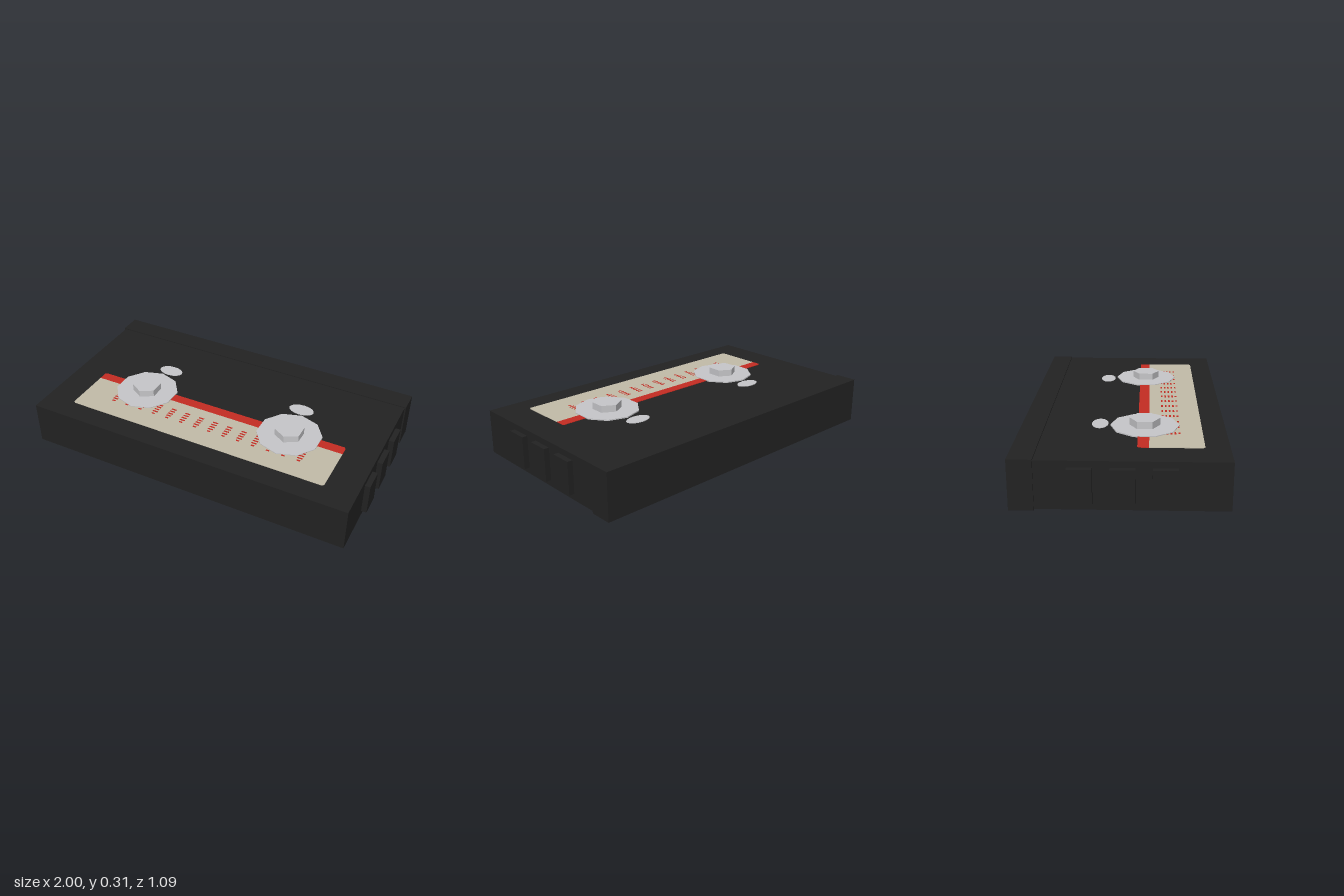
import * as THREE from 'three';

const mat = (name, color, extra = {}) => {
  const m = new THREE.MeshStandardMaterial({ color, ...extra });
  m.name = name;
  return m;
};

export function createModel() {
  const black = mat('black plastic', 0x222222);
  const cream = mat('cream label', 0xc2bba8);
  const red = mat('red stripe', 0xc42c22);
  const grey = mat('grey metal', 0xc6c6c9, { flatShading: true });
  const group = new THREE.Group();

  const add = (name, geometry, material, x, y, z) => {
    const mesh = new THREE.Mesh(geometry, material);
    mesh.name = name;
    mesh.position.set(x, y, z);
    group.add(mesh);
    return mesh;
  };
  // Box given by its limits on each axis
  const box = (name, material, [x0, x1], [y0, y1], [z0, z1]) =>
    add(name, new THREE.BoxGeometry(x1 - x0, y1 - y0, z1 - z0), material,
      (x0 + x1) / 2, (y0 + y1) / 2, (z0 + z1) / 2);

  const top = 0.264, bottom = 0.008;

  // Casing and the slightly larger cap along the back
  box('casing', black, [-0.97, 0.97], [bottom, top], [-0.5, 0.546]);
  box('backCap', black, [-0.978, 0.978], [0.002, 0.27], [-0.546, -0.42]);

  // Three grip ribs on each side
  for (const s of [-1, 1]) {
    for (const z of [0.22, 0.013, -0.195]) {
      box('gripRib', black, s > 0 ? [0.95, 1] : [-1, -0.95], [0.045, 0.23], [z - 0.062, z + 0.062]);
    }
  }

  // Label plate with its two outer corners clipped; dir = +1 rounds the front edge
  const labelGeometry = (z0, z1, dir) => {
    const w = 0.79, c = 0.01, near = dir > 0 ? z0 : z1, far = dir > 0 ? z1 : z0;
    const shape = new THREE.Shape();
    shape.moveTo(-w, -near);
    shape.lineTo(w, -near);
    shape.lineTo(w, -(far - dir * c));
    shape.lineTo(w - c, -far);
    shape.lineTo(-w + c, -far);
    shape.lineTo(-w, -(far - dir * c));
    return new THREE.ExtrudeGeometry(shape, { depth: 0.004, bevelEnabled: false }).rotateX(-Math.PI / 2);
  };

  // Labels and oval spots on both faces
  const oval = new THREE.CylinderGeometry(1, 1, 0.004, 16);
  for (const [side, y] of [['top', top - 0.001], ['bottom', bottom - 0.003]]) {
    add(side + 'Label', labelGeometry(0.14, 0.42, 1), cream, 0, y, 0);
    add(side + 'Stripe', labelGeometry(0.08, 0.14, -1), red, 0, y, 0);
    for (const s of [-1, 1]) {
      add(side + 'Spot', oval, grey, s * 0.44, y + 0.002, -0.126).scale.set(0.075, 1, 0.045);
    }
  }

  // Row of dashed scale marks on the top label
  for (let i = 0; i < 14; i++) {
    const x = -0.586 + i * 0.091;
    for (let j = 0; j < 5; j++) {
      const z = 0.213 + j * 0.021, w = j < 4 ? 0.016 : 0.01;
      box('scaleMark', red, [x - w, x + w], [top, top + 0.0035], [z - 0.005, z + 0.005]);
    }
  }

  // Ten-sided reels with hexagonal hubs
  for (const s of [-1, 1]) {
    add('reelDisc', new THREE.CylinderGeometry(0.186, 0.186, 0.008, 10), grey, s * 0.466, 0.267, 0.116);
    add('reelHub', new THREE.CylinderGeometry(0.083, 0.083, 0.042, 6), grey, s * 0.466, 0.29, 0.116);
  }
  return group;
}
